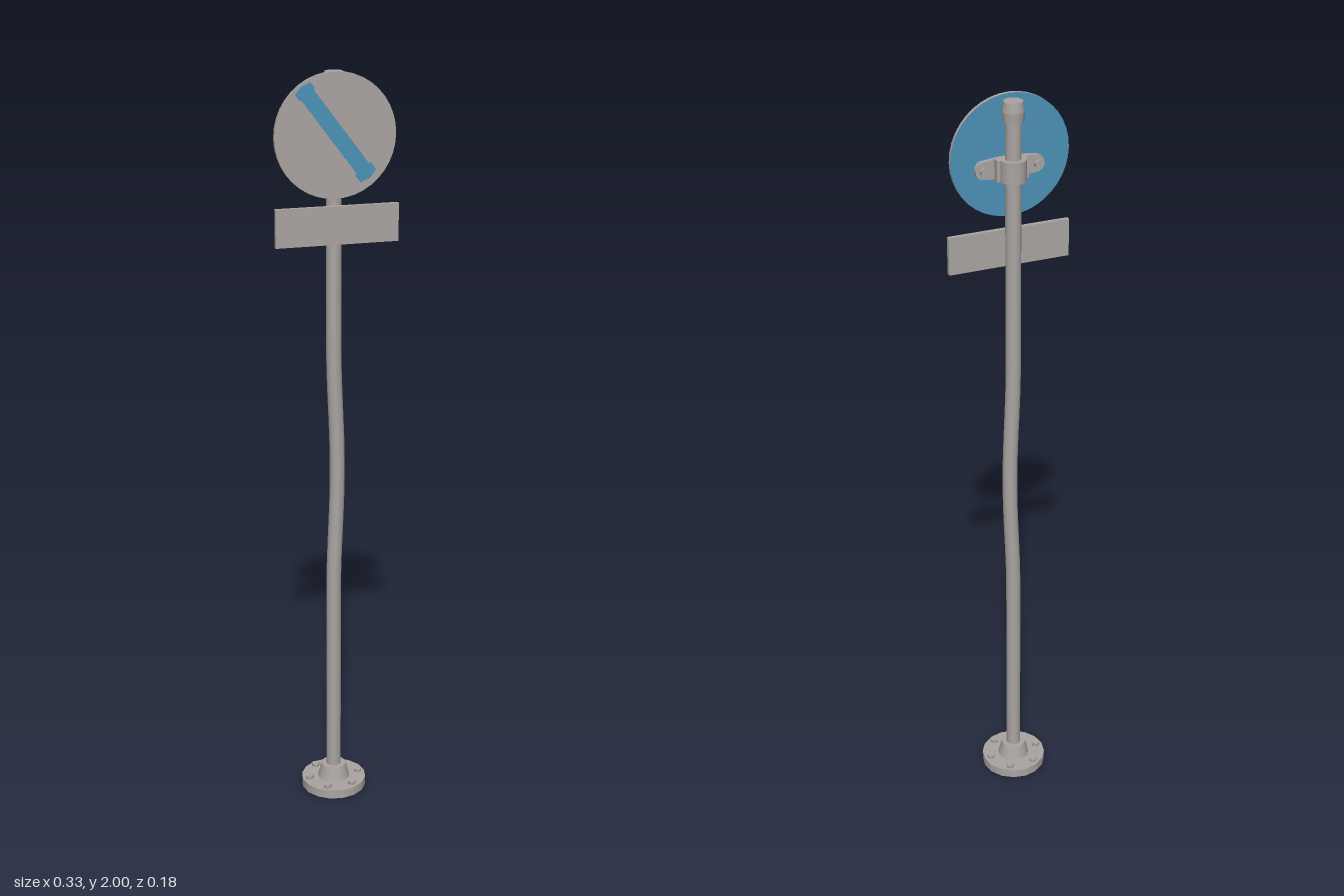
import * as THREE from 'three';

export function createModel() {
  const group = new THREE.Group();
  group.name = 'signPost';

  const steel = new THREE.MeshStandardMaterial({ color: 0xaaa5a2 });
  steel.name = 'grey steel';
  const blue = new THREE.MeshStandardMaterial({ color: 0x4d92b8 });
  blue.name = 'blue paint';

  function add(name, geometry, x = 0, y = 0, z = 0, material = steel) {
    const mesh = new THREE.Mesh(geometry, material);
    mesh.name = name;
    mesh.position.set(x, y, z);
    group.add(mesh);
    return mesh;
  }
  const cylinder = (top, bottom, height, sides = 16) =>
    new THREE.CylinderGeometry(top, bottom, height, sides);

  // Round foot with a stepped collar and six hex bolts
  add('baseFlange', cylinder(0.09, 0.09, 0.025, 16), 0, 0.0125, 0);
  add('baseCollar', cylinder(0.034, 0.044, 0.04), 0, 0.045, 0);
  for (let i = 0; i < 6; i++) {
    const a = (i * Math.PI) / 3;
    add('baseBolt', cylinder(0.011, 0.011, 0.01, 6).rotateY(Math.PI / 6),
      0.071 * Math.cos(a), 0.029, 0.071 * Math.sin(a));
  }

  // Pole, knocked slightly sideways near the middle
  const pole = new THREE.CylinderGeometry(0.02, 0.02, 1.93, 14, 32);
  pole.translate(0, 0.985, 0);
  const p = pole.attributes.position;
  for (let i = 0; i < p.count; i++) {
    const t = (p.getY(i) - 0.95) / 0.35;
    if (Math.abs(t) < 1) p.setX(i, p.getX(i) + 0.005 * (1 + Math.cos(Math.PI * t)));
  }
  pole.computeVertexNormals();
  add('pole', pole);

  // Tapered end cap
  add('capSkirt', cylinder(0.028, 0.026, 0.025, 12), 0, 1.957, 0);
  add('capTop', cylinder(0.024, 0.028, 0.025, 12), 0, 1.982, 0);

  // Clamp band with a rounded wing and a bolt on each side
  add('clampBand', cylinder(0.033, 0.033, 0.055), 0, 1.823, 0);
  const wing = new THREE.Shape();
  wing.moveTo(0.02, -0.0275);
  wing.lineTo(0.067, -0.0225);
  wing.absarc(0.068, 0, 0.0225, -Math.PI / 2, Math.PI / 2, false);
  wing.lineTo(0.02, 0.0275);
  wing.closePath();
  for (const side of [-1, 1]) {
    const plate = new THREE.ExtrudeGeometry(wing, { depth: 0.012, bevelEnabled: false, curveSegments: 8 });
    plate.translate(0, 0, -0.006);
    if (side < 0) plate.rotateZ(Math.PI);
    add('clampWing', plate, 0, 1.823, 0.024);
    add('clampShoulder', new THREE.BoxGeometry(0.016, 0.055, 0.022), side * 0.034, 1.823, 0.012);
    add('clampBoltHead', cylinder(0.01, 0.01, 0.012, 6).rotateX(Math.PI / 2), side * 0.071, 1.823, 0.013);
    add('clampBoltShaft', cylinder(0.006, 0.006, 0.034, 8).rotateX(Math.PI / 2), side * 0.071, 1.823, 0.026);
  }

  // Round sign: grey face and rim, blue back
  const disc = cylinder(0.156, 0.156, 0.01, 40).rotateX(Math.PI / 2);
  add('signDisc', disc, -0.01, 1.844, 0.047, [steel, steel, blue]);

  // Diagonal painted stripe with slightly ragged ends
  const stripe = new THREE.Shape([
    [-0.14, -0.024], [-0.122, -0.025], [-0.118, -0.02], [0.112, -0.02], [0.117, -0.026], [0.138, -0.025],
    [0.145, 0], [0.138, 0.025], [0.117, 0.026], [0.112, 0.02], [-0.118, 0.02], [-0.122, 0.025], [-0.14, 0.024],
    [-0.145, 0],
  ].map(([x, y]) => new THREE.Vector2(x, y)));
  const band = add('signStripe', new THREE.ExtrudeGeometry(stripe, { depth: 0.0012, bevelEnabled: false }),
    -0.009, 1.851, 0.0515, blue);
  band.rotation.z = -0.92;

  // Rectangular plate below the sign
  add('lowerPlate', new THREE.BoxGeometry(0.322, 0.098, 0.012), 0.002, 1.615, 0.024);

  return group;
}
